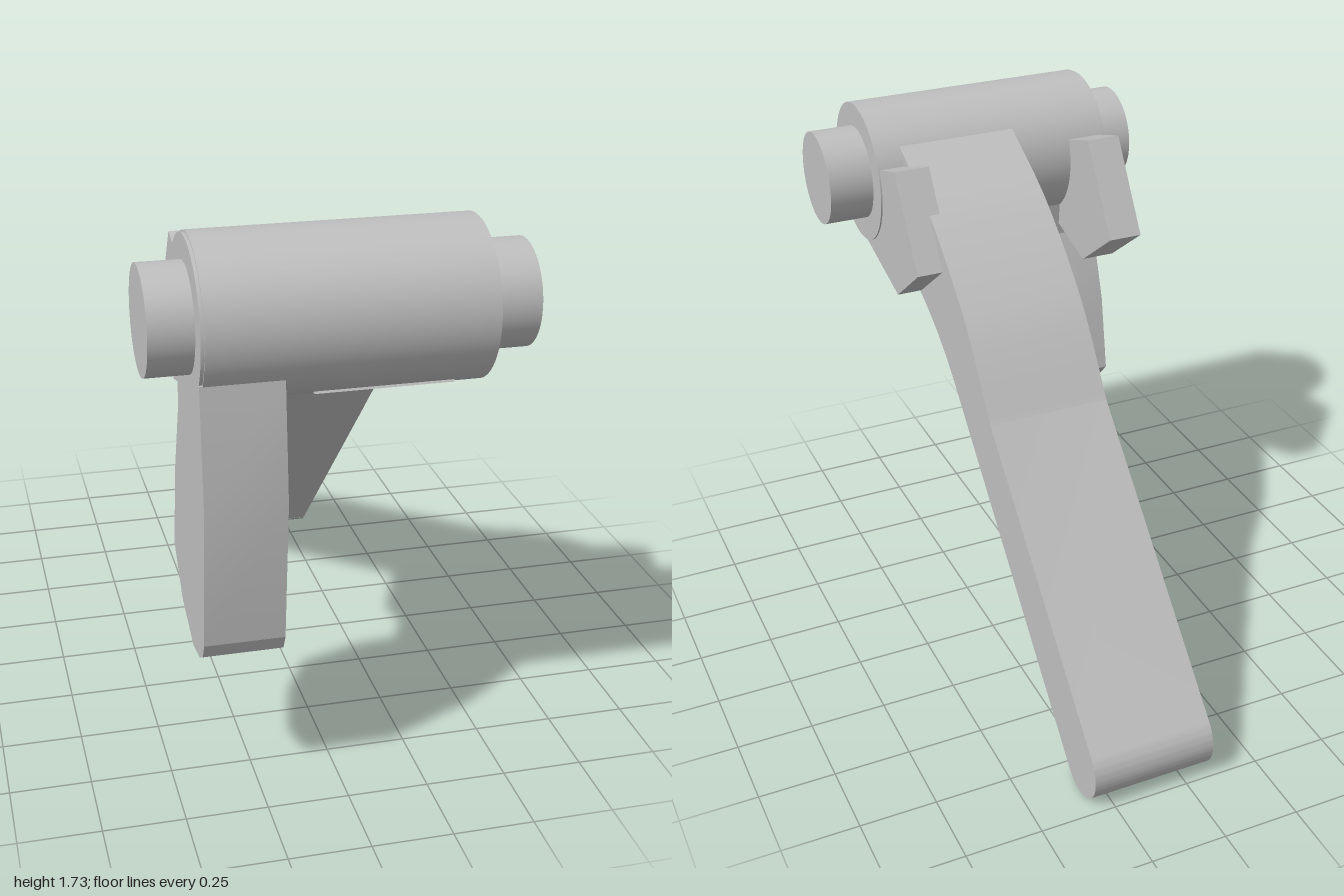
import * as THREE from 'three';
import { toCreasedNormals } from 'three/addons/utils/BufferGeometryUtils.js';

const AXLE_Y = 1.49, AXLE_Z = 0.76;

export function createModel() {
  const group = new THREE.Group();
  const grey = new THREE.MeshStandardMaterial({ color: 0xbfbfbf });
  grey.name = 'plain grey';

  const add = (name, geometry) => {
    const mesh = new THREE.Mesh(geometry, grey);
    mesh.name = name;
    group.add(mesh);
  };

  // Cylinder along x on the axle line
  const axleCylinder = (name, radius, x0, x1) => {
    const g = new THREE.CylinderGeometry(radius, radius, x1 - x0, 64);
    g.rotateZ(Math.PI / 2);
    g.translate((x0 + x1) / 2, AXLE_Y, AXLE_Z);
    add(name, g);
  };

  // Side profile (drawn in -z, y) given thickness from x0 to x1
  const plate = (name, shape, x0, x1, crease = 0.5) => {
    const g = new THREE.ExtrudeGeometry(shape, {
      depth: x1 - x0, bevelEnabled: false, curveSegments: 24,
    });
    g.rotateY(Math.PI / 2);
    g.translate(x0, 0, 0);
    add(name, toCreasedNormals(g, crease));
  };
  const points = (list) => list.map(([z, y]) => new THREE.Vector2(-z, y));

  // Barrel and the pin through it
  axleCylinder('barrel', 0.24, -0.42, 0.41);
  axleCylinder('pin', 0.16, -0.56, 0.56);

  // Long curved lever with a rounded tip
  const lever = new THREE.Shape();
  lever.moveTo(-0.89, 1.28);
  lever.splineThru(points([[0.7, 1.25], [0.44, 1.17], [0.2, 1.03], [-0.04, 0.80]]));
  lever.lineTo(0.804, 0.034);
  lever.absarc(0.885, 0.115, 0.115, -Math.PI * 0.75, Math.PI * 0.25, false);
  lever.lineTo(0.2, 0.96);
  lever.splineThru(points([[0, 1.235], [0.28, 1.48], [0.58, 1.64]]));
  lever.lineTo(-0.76, 1.49);
  lever.closePath();
  plate('lever', lever, -0.09, 0.32);

  // Short hanging arm with a round hub
  const arm = new THREE.Shape(points([
    [0.96, 1.36], [1.0, 1.0], [0.965, 0.56], [0.94, 0.51], [0.89, 0.48],
    [0.79, 0.465], [0.62, 0.53], [0.495, 0.66], [0.54, 0.93], [0.625, 1.18],
  ]));
  arm.absarc(-AXLE_Z, AXLE_Y, 0.235, -0.88, Math.PI + 0.576, false);
  plate('hangingArm', arm, -0.43, -0.19, 0.2);

  // Pair of angular lugs behind the barrel
  const lug = new THREE.Shape(points([
    [0.72, 1.25], [0.41, 1.17], [0.195, 1.33], [0.38, 1.625], [0.55, 1.57], [0.72, 1.5],
  ]));
  plate('leftLug', lug, 0.285, 0.405);
  plate('rightLug', lug, -0.405, -0.29);

  return group;
}
